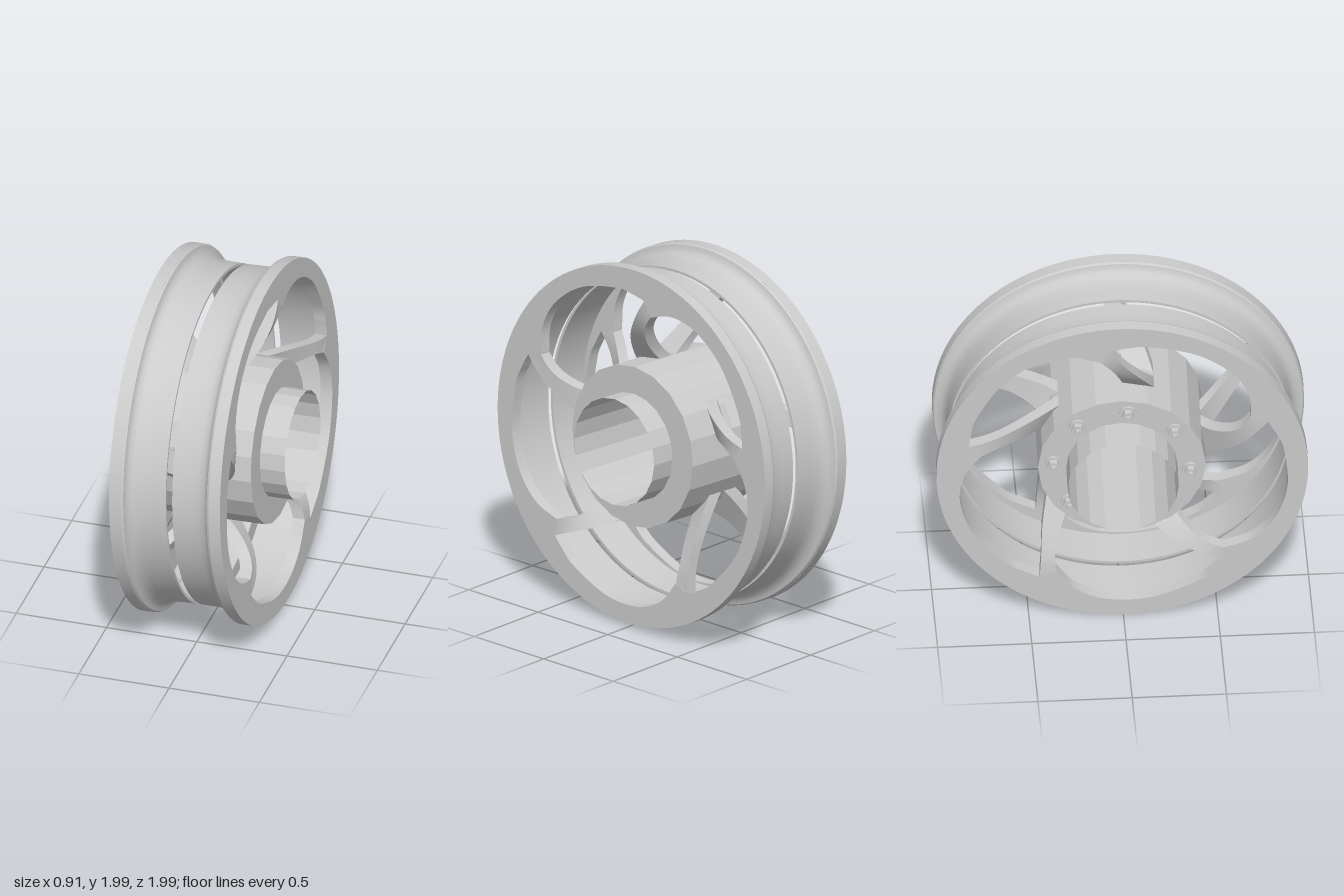
import * as THREE from 'three';
import { toCreasedNormals } from 'three/addons/utils/BufferGeometryUtils.js';

const smooth = new THREE.MeshStandardMaterial({ color: 0xcccccc });
const faceted = new THREE.MeshStandardMaterial({ color: 0xcccccc, flatShading: true, side: THREE.DoubleSide });

const polar = (r, deg) => {
  const a = THREE.MathUtils.degToRad(deg);
  return new THREE.Vector2(r * Math.cos(a), r * Math.sin(a));
};

function mesh(name, geometry, material = smooth) {
  const m = new THREE.Mesh(geometry, material);
  m.name = name;
  return m;
}

// Turns a [radius, axial] profile around the x axis
function turned(profile, segments) {
  const g = new THREE.LatheGeometry(profile.map(([r, a]) => new THREE.Vector2(r, a)), segments);
  return g.rotateZ(-Math.PI / 2);
}

// Flat flange ring; its inner edge follows five swept arcs joined at the spoke roots
function ringGeometry() {
  const shape = new THREE.Shape(Array.from({ length: 120 }, (_, i) => polar(0.985, i * 3)));
  const arc = [[0.848, 91], [0.866, 99], [0.885, 116], [0.88, 131], [0.84, 143], [0.76, 153.5]];
  const hole = new THREE.Path();
  const tip = polar(0.835, 85.5);
  hole.moveTo(tip.x, tip.y);
  for (let k = 0; k < 5; k++) {
    hole.splineThru(arc.map(([r, d]) => polar(r, d + 72 * k)));
    const next = polar(0.835, 157.5 + 72 * k);
    hole.lineTo(next.x, next.y);
  }
  shape.holes.push(hole);
  const g = new THREE.ExtrudeGeometry(shape, { depth: 0.065, bevelEnabled: false, curveSegments: 6 });
  return toCreasedNormals(g.rotateY(Math.PI / 2), 0.6);
}

// Curved spoke lofted from rim to hub, sinking towards the middle of the wheel
function spokeGeometry(side) {
  const rows = 16;
  const edge = (pts) => new THREE.SplineCurve(pts.map(([r, d]) => polar(r, d))).getPoints(rows);
  const lead = edge([[0.835, 85.5], [0.73, 90], [0.6, 98.5], [0.5, 107], [0.43, 115]]);
  const trail = edge([[0.76, 81.5], [0.68, 85.3], [0.6, 88], [0.5, 90.3], [0.43, 90.5]]);
  const corner = (p, outer) => {
    const t = THREE.MathUtils.clamp((0.8 - p.length()) / 0.36, 0, 1) ** 2;
    const a = outer ? 0.31 - 0.21 * t : 0.245 - 0.235 * t;
    return [side * a, p.y, -p.x];
  };
  const sections = lead.map((p, i) => [
    corner(p, true), corner(trail[i], true), corner(trail[i], false), corner(p, false),
  ]);
  const position = [];
  for (let i = 0; i < rows; i++) {
    for (let j = 0; j < 4; j++) {
      const n = (j + 1) % 4;
      const quad = [sections[i][j], sections[i + 1][j], sections[i + 1][n], sections[i][n]];
      if (side < 0) quad.reverse();
      for (const c of [0, 1, 2, 0, 2, 3]) position.push(...quad[c]);
    }
  }
  const g = new THREE.BufferGeometry();
  g.setAttribute('position', new THREE.Float32BufferAttribute(position, 3));
  return toCreasedNormals(g, 0.6);
}

// One rim half: flange ring, spokes, and the barrel reaching inward
function rimHalf(side) {
  const half = new THREE.Group();
  half.name = side > 0 ? 'leftRimHalf' : 'rightRimHalf';
  const ring = mesh('flangeRing', ringGeometry());
  ring.position.x = side > 0 ? 0.245 : -0.31;
  let profile = [
    [0.895, 0.018], [0.91, 0.018], [0.911, 0.1], [0.915, 0.165], [0.924, 0.197], [0.94, 0.218],
    [0.96, 0.229], [0.978, 0.233], [0.985, 0.246], [0.895, 0.25], [0.895, 0.018],
  ];
  if (side < 0) profile = profile.map(([r, a]) => [r, -a]).reverse();
  half.add(ring, mesh('rimBarrel', toCreasedNormals(turned(profile, 120), 0.6)));
  const spoke = spokeGeometry(side);
  for (let k = 0; k < 5; k++) {
    const m = mesh('spoke', spoke);
    m.rotation.x = (k * 2 * Math.PI) / 5;
    half.add(m);
  }
  return half;
}

// Washer, hex nut and stud, pointing along -x
function hubBolt() {
  const bolt = new THREE.Group();
  bolt.name = 'hubBolt';
  const parts = [['washer', 0.045, 0.014, 16], ['nut', 0.036, 0.045, 6], ['stud', 0.018, 0.065, 10]];
  for (const [name, r, h, sides] of parts) {
    const g = new THREE.CylinderGeometry(r, r, h, sides).rotateZ(Math.PI / 2).translate(-h / 2, 0, 0);
    bolt.add(mesh(name, g, faceted));
  }
  return bolt;
}

export function createModel() {
  const model = new THREE.Group();
  model.name = 'splitWheel';
  const wheel = new THREE.Group();
  wheel.name = 'tiltedWheel';
  wheel.position.set(-0.003, 1, 0);
  wheel.rotation.set(0, -0.026, 0.036);
  model.add(wheel);

  wheel.add(rimHalf(1), rimHalf(-1));

  // Hub drum and the thin bearing sleeve through it
  const drum = [[0.295, -0.26], [0.445, -0.26], [0.445, 0.3], [0.295, 0.3]];
  wheel.add(mesh('hubDrum', turned(drum, 20), faceted));
  wheel.add(mesh('bearingSleeve', turned([[0.295, -0.44], [0.295, 0.44]], 20), faceted));

  // Bolt circle on one hub face
  for (let k = 0; k < 8; k++) {
    const p = polar(0.365, 40 + 45 * k);
    const bolt = hubBolt();
    bolt.position.set(-0.26, p.y, p.x);
    wheel.add(bolt);
  }
  return model;
}
